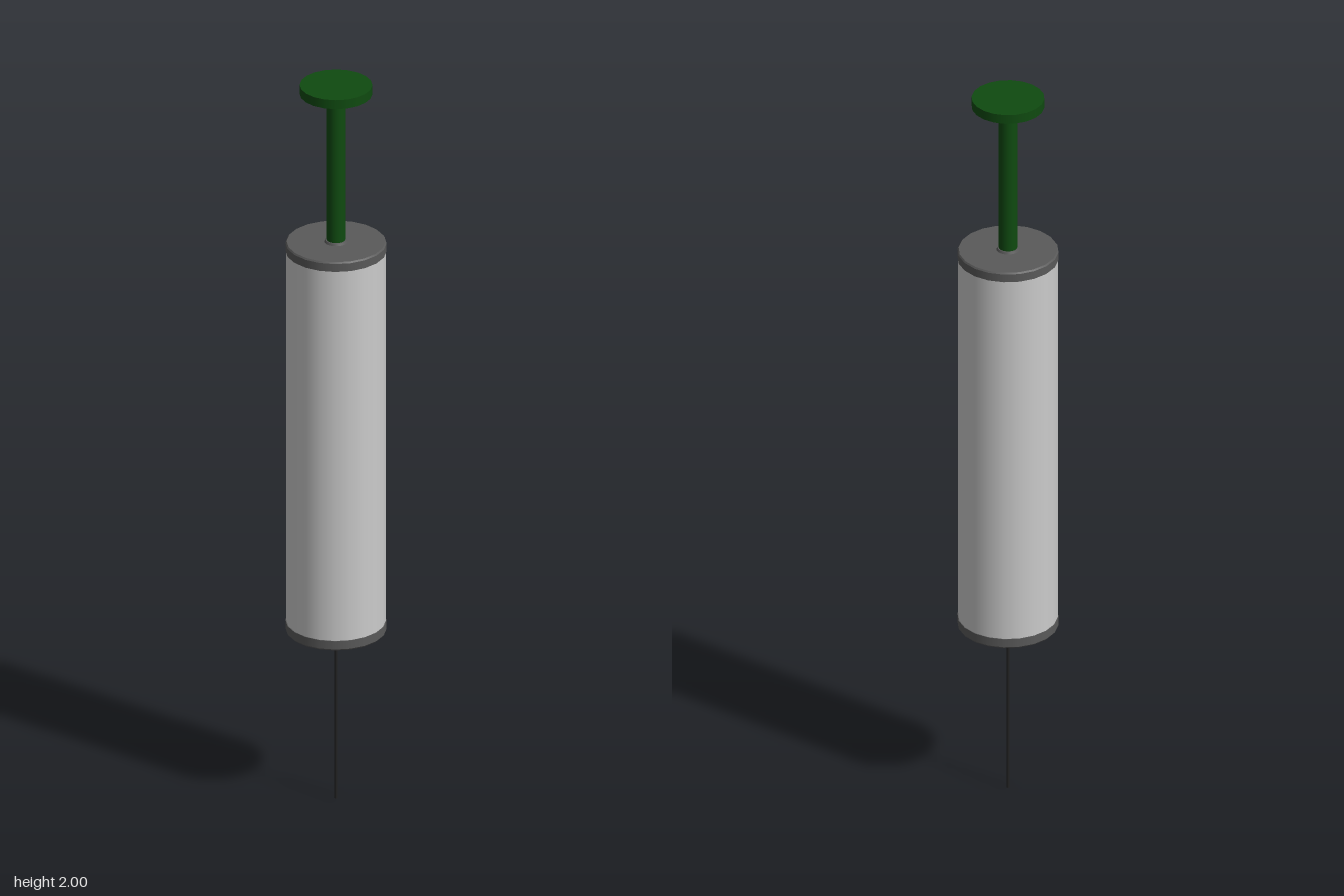
import * as THREE from 'three';

const SIDES = 20;
const grey = new THREE.MeshStandardMaterial({ color: 0xcccccc });
const darkGrey = new THREE.MeshStandardMaterial({ color: 0x5a5a5a });
const green = new THREE.MeshStandardMaterial({ color: 0x0f4a10 });
const black = new THREE.MeshStandardMaterial({ color: 0x222222 });

export function createModel() {
  const model = new THREE.Group();

  // Upright cylinder between two heights
  function rod(name, material, bottom, top, rBottom, rTop = rBottom, sides = SIDES, open = false) {
    const geometry = new THREE.CylinderGeometry(rTop, rBottom, top - bottom, sides, 1, open);
    const mesh = new THREE.Mesh(geometry, material);
    mesh.name = name;
    mesh.position.y = (bottom + top) / 2;
    model.add(mesh);
  }

  // Needle
  rod('needle', black, 0, 0.48, 0.004, 0.004, 8);

  // Barrel with a bevelled rim at each end
  rod('barrel', grey, 0.495, 1.537, 0.127, 0.127, SIDES, true);
  rod('lowerRim', darkGrey, 0.476, 0.499, 0.129, 0.129, SIDES);
  rod('lowerRimBevel', darkGrey, 0.472, 0.476, 0.126, 0.129, SIDES, true);
  rod('upperRim', darkGrey, 1.535, 1.557, 0.129);
  rod('upperRimBevel', darkGrey, 1.557, 1.561, 0.129, 0.126);

  // Green plate closing the bottom of the barrel
  rod('bottomPlate', green, 0.472, 0.48, 0.126);

  // Plunger: collar, shaft and thumb disc
  rod('plungerCollar', darkGrey, 1.558, 1.567, 0.031, 0.027);
  rod('plungerShaft', green, 1.55, 1.98, 0.024);
  rod('thumbDisc', green, 1.975, 2, 0.093);

  return model;
}
